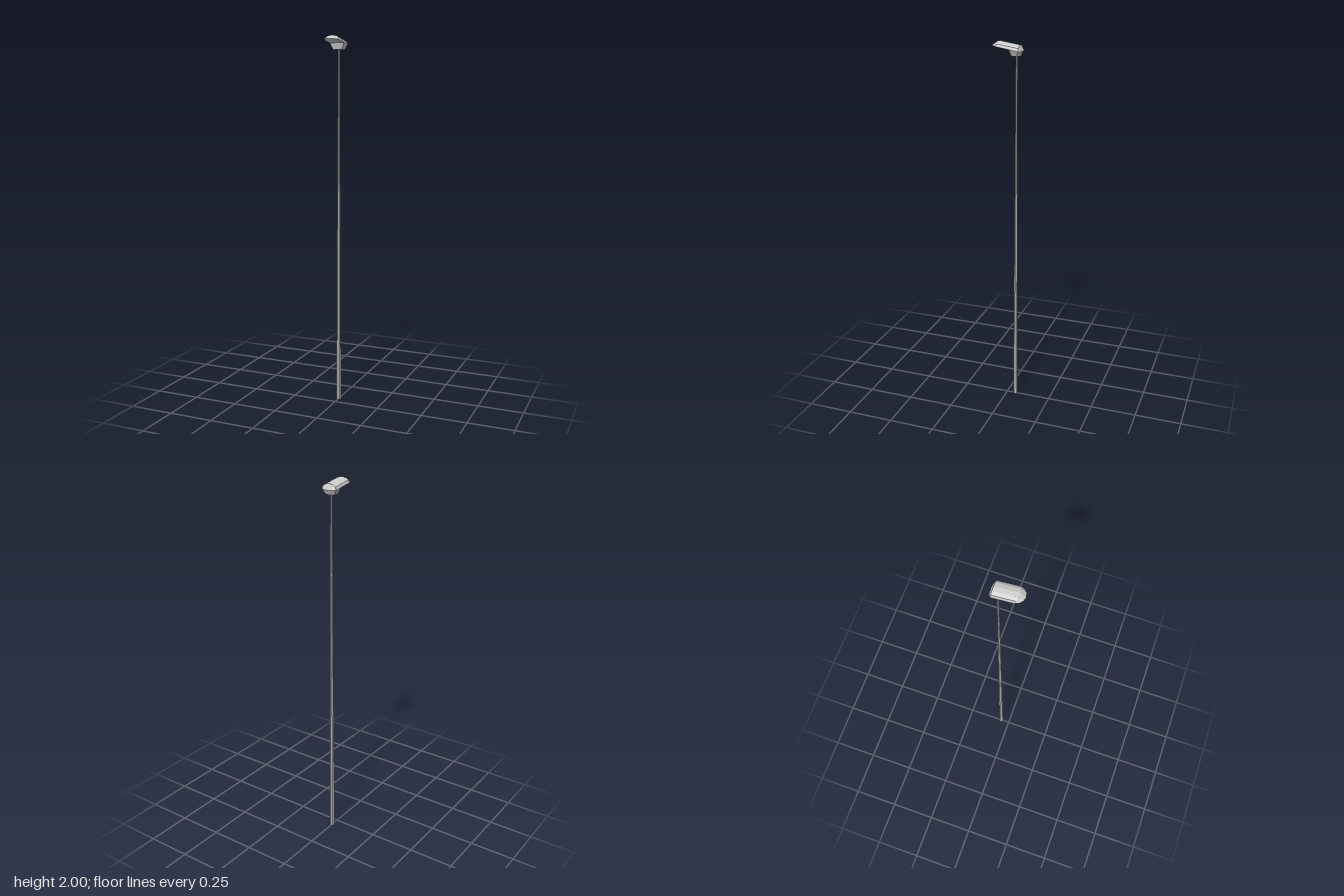
import * as THREE from 'three';

const material = new THREE.MeshStandardMaterial({ color: 0xcccccc, flatShading: true });

// Skins a list of equally long point rows into one faceted mesh.
function skin(name, rows) {
  const n = rows[0].length;
  const index = [];
  for (let s = 0; s < rows.length - 1; s++) {
    for (let i = 0; i < n - 1; i++) {
      const a = s * n + i, b = a + 1, c = a + n, d = b + n;
      index.push(a, b, c, b, d, c);
    }
  }
  const geometry = new THREE.BufferGeometry();
  geometry.setAttribute('position', new THREE.Float32BufferAttribute(rows.flat(2), 3));
  geometry.setIndex(index);
  geometry.computeVertexNormals();
  const mesh = new THREE.Mesh(geometry, material);
  mesh.name = name;
  return mesh;
}

const HALF_WIDTH = 0.043, POLE_Z = -0.05;
const angles = Array.from({ length: 7 }, (_, i) => (i * Math.PI) / 6);
const rimY = z => 1.963 + 0.16 * (z + 0.02); // underside rises towards the front

// One arched cross-section: bulge pushes its crown along z, height lifts it above the rim.
function arch(z, bulge, height) {
  return angles.map(a => {
    const pz = z + bulge * Math.sin(a);
    return [HALF_WIDTH * Math.cos(a), rimY(pz) + height * Math.sin(a), pz];
  });
}

export function createModel() {
  const model = new THREE.Group();
  model.name = 'streetLamp';

  // Tapering pole
  const pole = new THREE.Mesh(new THREE.CylinderGeometry(0.005, 0.0135, 1.94, 8), material);
  pole.name = 'pole';
  pole.position.set(0, 0.97, POLE_Z);
  model.add(pole);

  // Rounded lamp hood, closed by a flat underside
  const rearRim = arch(-0.069, -0.014, 0);
  model.add(skin('lampHood', [
    rearRim,
    arch(-0.069, 0, 0.028),
    arch(0.037, 0, 0.028),
    arch(0.037, 0.016, 0.023),
    arch(0.037, 0.043, 0),
    rearRim,
  ]));

  // Tapered housing that joins the hood to the pole
  const ring = (points, frontX, frontZ, frontY) => {
    const loop = [...points, [-frontX, frontY, frontZ], [frontX, frontY, frontZ]];
    return [...loop, loop[0]];
  };
  const bottom = ring(
    angles.map(a => [0.028 * Math.cos(a), 1.928, -0.06 - 0.01 * Math.sin(a)]),
    0.024, -0.03, 1.928);
  const top = ring(rearRim, 0.041, -0.02, rimY(-0.02));
  const centre = bottom.map(() => [0, 1.928, POLE_Z]);
  model.add(skin('lampHousing', [centre, bottom, top]));

  return model;
}
